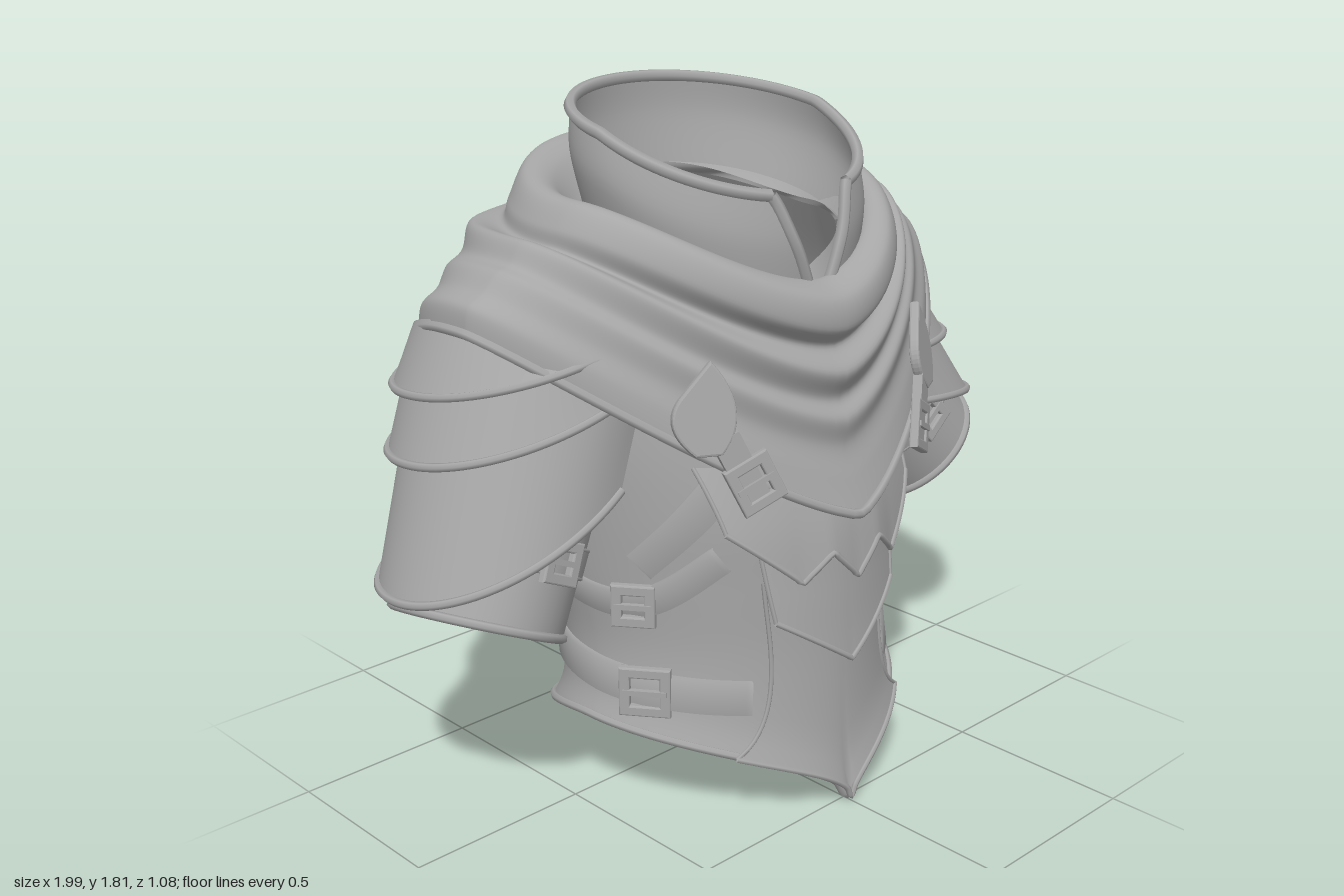
import * as THREE from 'three';

const V = (x, y, z) => new THREE.Vector3(x, y, z);
const lerp = THREE.MathUtils.lerp;
const grey = new THREE.MeshStandardMaterial({ color: 0xa6a6a6, side: THREE.DoubleSide });
grey.name = 'plain grey';

function add(parent, name, geometry) {
  const m = new THREE.Mesh(geometry, grey);
  m.name = name;
  parent.add(m);
  return m;
}

// Surface from f(u, v) with u, v in 0..1; closed joins the ends of u
function grid(f, nu, nv, closed = false) {
  const pos = [], idx = [], cols = closed ? nu : nu + 1;
  for (let j = 0; j <= nv; j++)
    for (let i = 0; i < cols; i++) pos.push(...f(i / nu, j / nv).toArray());
  for (let j = 0; j < nv; j++)
    for (let i = 0; i < nu; i++) {
      const a = j * cols + i, b = j * cols + (i + 1) % cols;
      idx.push(a, b, b + cols, a, b + cols, a + cols);
    }
  const g = new THREE.BufferGeometry();
  g.setAttribute('position', new THREE.Float32BufferAttribute(pos, 3));
  g.setIndex(idx);
  g.computeVertexNormals();
  return g;
}

// Rounded edging that follows f(u)
function edging(f, n, r, closed = false) {
  const pts = [];
  for (let i = 0; i < (closed ? n : n + 1); i++) pts.push(f(i / n));
  return new THREE.TubeGeometry(new THREE.CatmullRomCurve3(pts, closed), n * 2, r, 6, closed);
}

// Smooth blend through the rows of a ring table
function blend(rows, v) {
  const k = THREE.MathUtils.clamp(v, 0, 1) * (rows.length - 1);
  const i = Math.min(Math.floor(k), rows.length - 2), t = k - i;
  const at = (j) => rows[Math.max(0, Math.min(rows.length - 1, j))];
  return rows[0].map((_, c) => {
    const [a, b, d, e] = [at(i - 1)[c], at(i)[c], at(i + 1)[c], at(i + 2)[c]];
    return b + 0.5 * t * (d - a + t * (2 * a - 5 * b + 4 * d - e + t * (3 * (b - d) + e - a)));
  });
}

// Ring row: frontY, frontZ, sideX, sideY, sideZ, backY, backZ. Angle 0 is the front.
const body = (rows, style) => (angle, v) => {
  const [fy, fz, sx, sy, sz, by, bz] = blend(rows, v);
  const st = style(v), s = Math.min(1, Math.abs(Math.sin(angle)));
  const front = Math.cos(angle) >= 0;
  const [p, q, py, qy] = front ? st.front : st.back;
  const kz = Math.pow(1 - Math.pow(s, p), 1 / q), ky = Math.pow(1 - Math.pow(s, py), 1 / qy);
  return V(sx * Math.sin(angle), lerp(sy, front ? fy : by, ky), lerp(sz, front ? fz : bz, kz));
};

const torso = body([
  [0, .51, .485, .245, .05, .10, -.34],
  [.12, .485, .46, .32, .05, .20, -.305],
  [.40, .47, .45, .45, .03, .40, -.31],
  [.60, .47, .47, .62, 0, .60, -.36],
  [.80, .47, .48, .80, 0, .80, -.41],
  [1.0, .44, .49, 1.0, -.02, 1.0, -.45],
  [1.2, .39, .47, 1.2, -.03, 1.25, -.46],
  [1.36, .31, .345, 1.45, .02, 1.54, -.26],
], () => ({ front: [1.8, 1.8, .6, 1], back: [2.5, 2.2, 2, 1.4] }));

const cowl = body([
  [1.33, .33, .36, 1.46, 0, 1.56, -.30],
  [1.37, .38, .42, 1.555, 0, 1.625, -.37],
  [1.335, .455, .47, 1.565, 0, 1.64, -.45],
  [1.26, .47, .515, 1.51, 0, 1.55, -.47],
  [1.21, .43, .53, 1.465, -.02, 1.50, -.475],
  [1.15, .475, .60, 1.495, -.02, 1.44, -.54],
  [1.08, .45, .64, 1.445, -.02, 1.34, -.515],
  [1.03, .48, .68, 1.43, -.02, 1.24, -.535],
  [.96, .473, .72, 1.39, -.02, 1.14, -.515],
  [.88, .50, .765, 1.36, -.02, 1.06, -.525],
  [.80, .53, .775, 1.30, -.02, .97, -.52],
], (v) => ({
  front: [lerp(2, 1.4, v), lerp(2, 1.5, v), lerp(1.7, 1.3, v), 1],
  back: [lerp(2, 3, v), lerp(2, 2.5, v), 2.4, 1],
}));

const collar = body([
  [1.33, .375, .36, 1.47, .02, 1.56, -.29],
  [1.46, .38, .39, 1.61, .02, 1.69, -.32],
  [1.575, .36, .375, 1.72, .01, 1.785, -.325],
], () => ({ front: [2, 2, 2, 2], back: [2, 2, 2, 2] }));

// Point on the torso at a given angle and height, pushed outward by off
function onTorso(angle, y, off) {
  let lo = 0, hi = 1;
  for (let i = 0; i < 24; i++) {
    const mid = (lo + hi) / 2;
    if (torso(angle, mid).y < y) lo = mid; else hi = mid;
  }
  return torso(angle, lo).add(V(Math.sin(angle), 0, Math.cos(angle)).multiplyScalar(off));
}

// Armour plate laid on the torso, with edging on its free sides
function plate(parent, name, { half, bottom, top, off, flare, turn = 0 }) {
  const f = (u, v) => {
    const x = (u * 2 - 1) * half(v);
    return onTorso(turn + Math.asin(x / .47), lerp(bottom(Math.abs(x)), top, v), off + flare * (1 - v));
  };
  add(parent, name, grid(f, 40, 12));
  add(parent, name + 'LowerEdge', edging((u) => f(u, 0), 40, .008));
  for (const u of [0, 1]) add(parent, name + 'SideEdge', edging((v) => f(u, v), 12, .006));
}

// Flat strap following (angle, height) points around the torso
function strap(parent, name, points, width, side) {
  const path = new THREE.SplineCurve(points.map(([a, y]) => new THREE.Vector2(a * .45, y)));
  const across = [-.5, -.5, .5, .5], lift = [-.002, .017, .017, -.002];
  add(parent, name, grid((u, v) => {
    const c = path.getPoint(u), t = path.getTangent(u), k = Math.round(v * 3);
    const x = c.x - t.y * across[k] * width, y = c.y + t.x * across[k] * width;
    return onTorso(side * x / .45, y, lift[k]);
  }, 32, 3));
}

// Rectangular buckle frame with a prong, facing along normal
function buckle(parent, name, pos, normal, roll, w, h) {
  const rect = (o, a, b) => o.moveTo(-a, -b).lineTo(a, -b).lineTo(a, b).lineTo(-a, b).closePath();
  const shape = rect(new THREE.Shape(), w / 2, h / 2);
  shape.holes.push(rect(new THREE.Path(), w / 2 - .02, h / 2 - .02));
  const g = new THREE.Group();
  g.name = name;
  add(g, 'buckleFrame', new THREE.ExtrudeGeometry(shape,
    { depth: .014, bevelSize: .004, bevelThickness: .005, bevelSegments: 2 }));
  add(g, 'bucklePin', new THREE.BoxGeometry(w * .9, .014, .014)).position.z = .016;
  g.position.copy(pos);
  g.lookAt(pos.clone().add(normal));
  g.rotateZ(roll);
  parent.add(g);
}

// Sleeve and three overlapping shoulder plates along one arm
function arm(root, name, { end, axis, up, r0, slope, edges, tMin }) {
  const g = new THREE.Group();
  g.name = name;
  root.add(g);
  const a = V(axis[0], axis[1], .15).normalize(), u = V(up[0], up[1], 0).normalize();
  const w = a.clone().cross(u);
  if (w.z < 0) w.negate();
  const pt = (t, r, rz, phi) => end.clone().addScaledVector(a, t)
    .addScaledVector(u, r * Math.cos(phi)).addScaledVector(w, rz * Math.sin(phi));
  const ring = (t, extra) => (k) => pt(t, .205 - t * .05 + extra, .22 - t * .05 + extra, k * Math.PI * 2);
  add(g, 'sleeve', grid((k, v) => ring(-.4 * v, 0)(k), 40, 8, true));
  add(g, 'cuffRim', edging(ring(0, 0), 32, .012, true));
  add(g, 'sleeveStrap', grid((k, v) => ring(-.15 - .07 * v, .008)(k), 40, 2, true));
  for (const t of [-.15, -.22]) add(g, 'sleeveSeam', edging(ring(t, .005), 32, .005, true));
  buckle(g, 'sleeveBuckle', pt(-.18, .2, .235, 1.6), w, Math.atan2(up[1], up[0]), .1, .1);

  edges.forEach((edge, i) => {
    const f = (k, v) => {
      const phi = (k * 2 - 1) * 1.9, dip = (phi > 0 ? .25 : .19) * (phi / 1.57) ** 2;
      const t0 = Math.max(tMin, i ? edges[i - 1] - .12 - dip : tMin);
      const t = lerp(t0, Math.max(edge - dip, t0 + .02), v);
      const inset = .04 * (1 - v);
      return pt(t, r0 - slope * t - inset, .265 - .13 * t - inset, phi);
    };
    const label = ['upper', 'middle', 'lower'][i] + 'ShoulderPlate';
    add(g, label, grid(f, 40, 10));
    add(g, label + 'Rim', edging((k) => f(k, 1), 40, .011));
  });
}

export function createModel() {
  const root = new THREE.Group();
  root.name = 'torsoArmour';
  const TAU = Math.PI * 2;

  // Body shell with a turned-in lower rim
  add(root, 'torsoShell', grid((u, v) => torso(u * TAU, v), 96, 40, true));
  add(root, 'torsoLowerRim', edging((u) => torso(u * TAU, 0), 80, .011, true));
  add(root, 'torsoInnerRim', grid((u, v) =>
    torso(u * TAU, .1 * v).multiply(V(1 - .1 * v, 1, 1 - .1 * v)), 96, 3, true));

  // Draped cowl with rolled folds
  add(root, 'cowl', grid((u, v) => cowl(u * TAU, v), 112, 80, true));
  add(root, 'cowlHem', edging((u) => cowl(u * TAU, 1), 80, .013, true));

  // Standing collar, open at the front
  const col = (u, v) => {
    const gap = lerp(.06, .36, v);
    return collar(gap + u * (TAU - 2 * gap), v);
  };
  add(root, 'collar', grid(col, 72, 12));
  add(root, 'collarTopRim', edging((u) => col(u, 1), 64, .016));
  for (const u of [0, 1]) add(root, 'collarFrontRim', edging((v) => col(u, v), 10, .016));

  // Layered front plates and back panel
  plate(root, 'bellyPlate', {
    half: (v) => .185 + .1 * (1 - v) ** 4 + .03 * v, top: .64, off: .012, flare: .005,
    bottom: (x) => .003 + .245 * (x / .485) ** .6,
  });
  plate(root, 'middleChevronPlate', {
    half: (v) => .2 + .03 * v, top: .76, off: .015, flare: .03, bottom: (x) => .4 + x * .72,
  });
  plate(root, 'upperChevronPlate', {
    half: (v) => .29 + .04 * v, top: .95, off: .018, flare: .04,
    bottom: (x) => x < .075 ? .635 + x * 1.1 : x < .145 ? .717 - (x - .075) * .95 : .65 + (x - .145) * 1.0,
  });
  plate(root, 'backPanel', {
    half: (v) => .2 + .06 * (1 - v) ** 3 + .14 * v * v, top: 1.05, off: .008, flare: .002, turn: Math.PI,
    bottom: (x) => .11 + x * x * .9,
  });

  // Straps, buckles and tabs on both sides
  for (const s of [1, -1]) {
    const side = new THREE.Group();
    side.name = s > 0 ? 'leftStraps' : 'rightStraps';
    root.add(side);
    strap(side, 'waistStrap', [[.56, .33], [1.2, .35], [2.0, .37], [2.6, .37]], .085, s);
    strap(side, 'ribStrap', [[.68, .71], [1.15, .575], [1.9, .6], [2.6, .64]], .07, s);
    strap(side, 'chestStrap', [[.6, .93], [.85, .8], [1.1, .68]], .08, s);
    for (const [y, size] of [[.345, .125], [.575, .105]])
      buckle(side, 'sideBuckle', onTorso(s * 1.15, y, .014), V(s * .8, 0, .6), 0, size, size);

    const n = V(s * .5, .1, 1);
    buckle(side, 'chestBuckle', V(s * .3, .94, .455), n, s * -.45, .11, .12);
    const link = add(side, 'chestBuckleStrap', new THREE.BoxGeometry(.07, .19, .025));
    link.position.set(s * .325, .97, .44);
    link.lookAt(link.position.clone().add(n));
    link.rotateZ(s * -.45);

    const leaf = new THREE.Shape();
    leaf.moveTo(-.03, 0);
    leaf.quadraticCurveTo(-.11, .07, -.06, .13);
    leaf.lineTo(.015, .21);
    leaf.quadraticCurveTo(.11, .09, .03, 0);
    const tab = add(side, 'leafTab', new THREE.ExtrudeGeometry(leaf,
      { depth: .014, bevelSize: .006, bevelThickness: .006, bevelSegments: 2 }));
    tab.position.set(s * .395, 1.02, .395);
    tab.rotation.set(-.2, s * .5, 0, 'YXZ');
  }

  // Arms, the left one raised a little further
  arm(root, 'leftArm', {
    end: V(.825, .66, -.02), axis: [.66, -.75], up: [.75, .66],
    r0: .22, slope: .3, edges: [-.38, -.22, -.01], tMin: -.6,
  });
  arm(root, 'rightArm', {
    end: V(-.775, .575, -.02), axis: [-.43, -.9], up: [-.9, .43],
    r0: .235, slope: .16, edges: [-.49, -.33, -.01], tMin: -.68,
  });
  return root;
}
